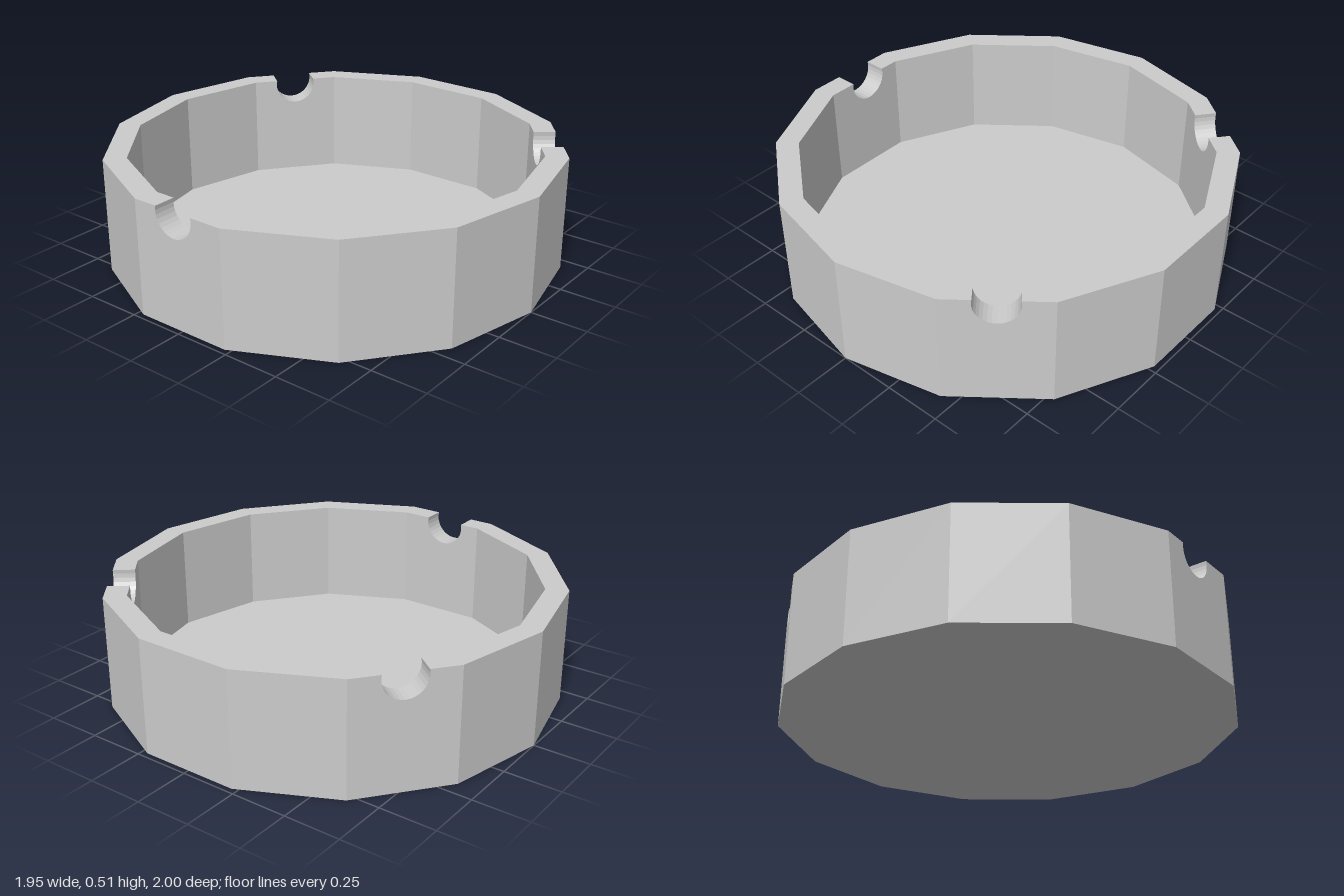
import * as THREE from 'three';

const SIDES = 14;
const HEIGHT = 0.51;
const FLOOR = 0.04;
const INNER = 0.9; // inner radius relative to the outer radius of 1
const APOTHEM = Math.cos(Math.PI / SIDES);
const HALF = Math.sin(Math.PI / SIDES);
const NOTCH_R = 0.094;
const NOTCH_Y = 0.49;

// One flat wall panel with mitred ends; notchX is the centre of a rim notch, or null
function panelGeometry(notchX) {
  const shape = new THREE.Shape();
  shape.moveTo(-HALF, 0);
  shape.lineTo(HALF, 0);
  shape.lineTo(HALF, HEIGHT);
  if (notchX !== null) {
    const start = Math.asin((HEIGHT - NOTCH_Y) / NOTCH_R);
    shape.absarc(notchX, NOTCH_Y, NOTCH_R, start, Math.PI - start, true);
  }
  shape.lineTo(-HALF, HEIGHT);
  shape.closePath();

  const depth = APOTHEM * (1 - INNER);
  const geo = new THREE.ExtrudeGeometry(shape, { depth, bevelEnabled: false, curveSegments: 9 });
  const pos = geo.attributes.position;
  const kept = [];
  for (let i = 0; i < pos.count; i += 3) {
    const tri = [0, 1, 2].map((j) => new THREE.Vector3().fromBufferAttribute(pos, i + j));
    // Leave out the hidden ends where panels meet
    if (tri.every((p) => p.x > HALF - 0.001) || tri.every((p) => p.x < -HALF + 0.001)) continue;
    for (const p of tri) {
      // Narrow the inner face so neighbouring panels meet in a mitre
      if (p.z < depth / 2 && Math.abs(p.x) > HALF - 0.001) p.x *= INNER;
      kept.push(p.x, p.y, p.z + APOTHEM * INNER);
    }
  }
  const out = new THREE.BufferGeometry();
  out.setAttribute('position', new THREE.Float32BufferAttribute(kept, 3));
  out.computeVertexNormals();
  return out;
}

export function createModel() {
  const model = new THREE.Group();
  model.name = 'ashtray';
  const material = new THREE.MeshStandardMaterial({ color: 0xcccccc, flatShading: true });

  // Ring of wall panels, three of them notched
  const wall = new THREE.Group();
  wall.name = 'wall';
  const notches = { 2: 0, 7: -0.018, 12: 0 };
  for (let k = 0; k < SIDES; k++) {
    const notched = k in notches;
    const panel = new THREE.Mesh(panelGeometry(notched ? notches[k] : null), material);
    panel.name = notched ? 'notchedWallPanel' : 'wallPanel';
    panel.rotation.y = (k * 2 * Math.PI) / SIDES + Math.PI / 2;
    wall.add(panel);
  }
  model.add(wall);

  // Floor plate, with a corner at the front and back like the wall
  const floor = new THREE.Mesh(new THREE.CylinderGeometry(INNER, INNER, FLOOR, SIDES), material);
  floor.name = 'floor';
  floor.position.y = FLOOR / 2;
  model.add(floor);

  return model;
}
